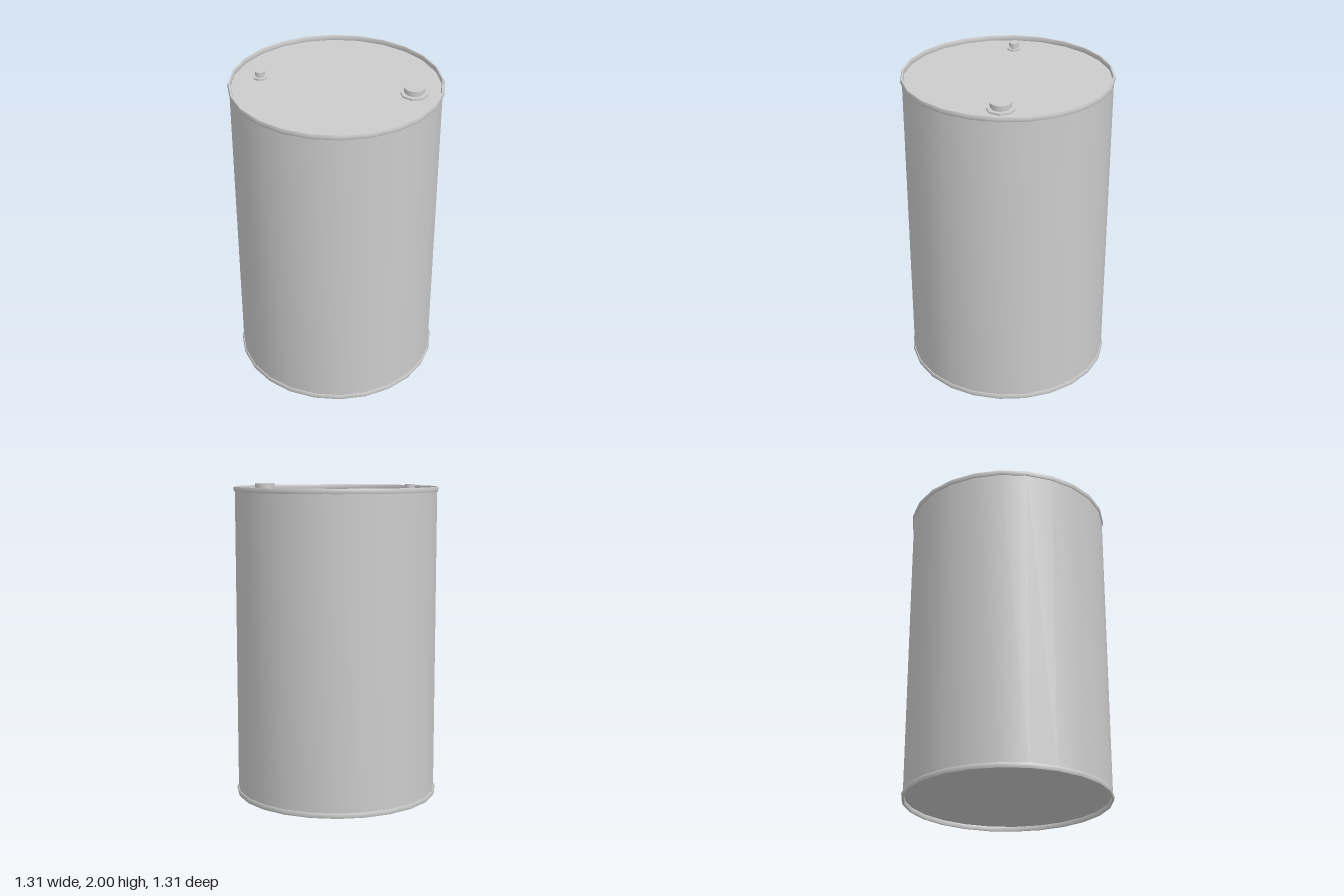
import * as THREE from 'three';
import { toCreasedNormals } from 'three/addons/utils/BufferGeometryUtils.js';

const SIDES = 24;
const RADIUS = 0.643;
const material = new THREE.MeshStandardMaterial({ color: 0xcccccc });
const sheetMaterial = new THREE.MeshStandardMaterial({ color: 0xcccccc, side: THREE.DoubleSide });

// Turned part from [radius, y] pairs, listed so the outside faces outwards
function turned(name, profile, sides, mat = material, crease = 0.9) {
  const points = profile.map(([r, y]) => new THREE.Vector2(r, y));
  const geometry = toCreasedNormals(new THREE.LatheGeometry(points, sides), crease);
  const mesh = new THREE.Mesh(geometry, mat);
  mesh.name = name;
  return mesh;
}

// Rolled rim with a six-sided section
function rim(name, y) {
  const section = [];
  for (let i = 0; i <= 6; i++) {
    const a = (i / 6) * Math.PI * 2;
    section.push([RADIUS + 0.01 * Math.cos(a), y + 0.018 * Math.sin(a)]);
  }
  return turned(name, section, SIDES, material, 1.2);
}

// Threaded plug: octagonal flange, short neck and round cap
function bung(name, x, flangeR, neckR, capR) {
  const group = new THREE.Group();
  group.name = name;
  group.add(
    turned('flange', [[flangeR, 0], [flangeR, 0.012], [0, 0.012]], 8, material, 0.5),
    turned('neck', [[neckR, 0.012], [neckR, 0.026]], 12),
    turned('cap', [[0, 0.024], [capR, 0.024], [capR, 0.05], [0, 0.05]], 12)
  );
  group.position.set(x, 1.95, 0);
  return group;
}

export function createModel() {
  const model = new THREE.Group();
  model.name = 'drum';

  // Side wall, seen from inside above the recessed lid
  model.add(turned('sideWall', [[RADIUS, 0.016], [RADIUS, 1.967]], SIDES, sheetMaterial));

  // Recessed ends
  model.add(turned('lid', [[RADIUS, 1.95], [0, 1.95]], SIDES));
  model.add(turned('base', [[0, 0.03], [RADIUS, 0.03]], SIDES));

  model.add(rim('topRim', 1.967), rim('bottomRim', 0.016));

  // Filler and vent plugs
  model.add(bung('largeBung', 0.475, 0.085, 0.056, 0.065));
  model.add(bung('smallBung', -0.475, 0.042, 0.024, 0.032));
  return model;
}
